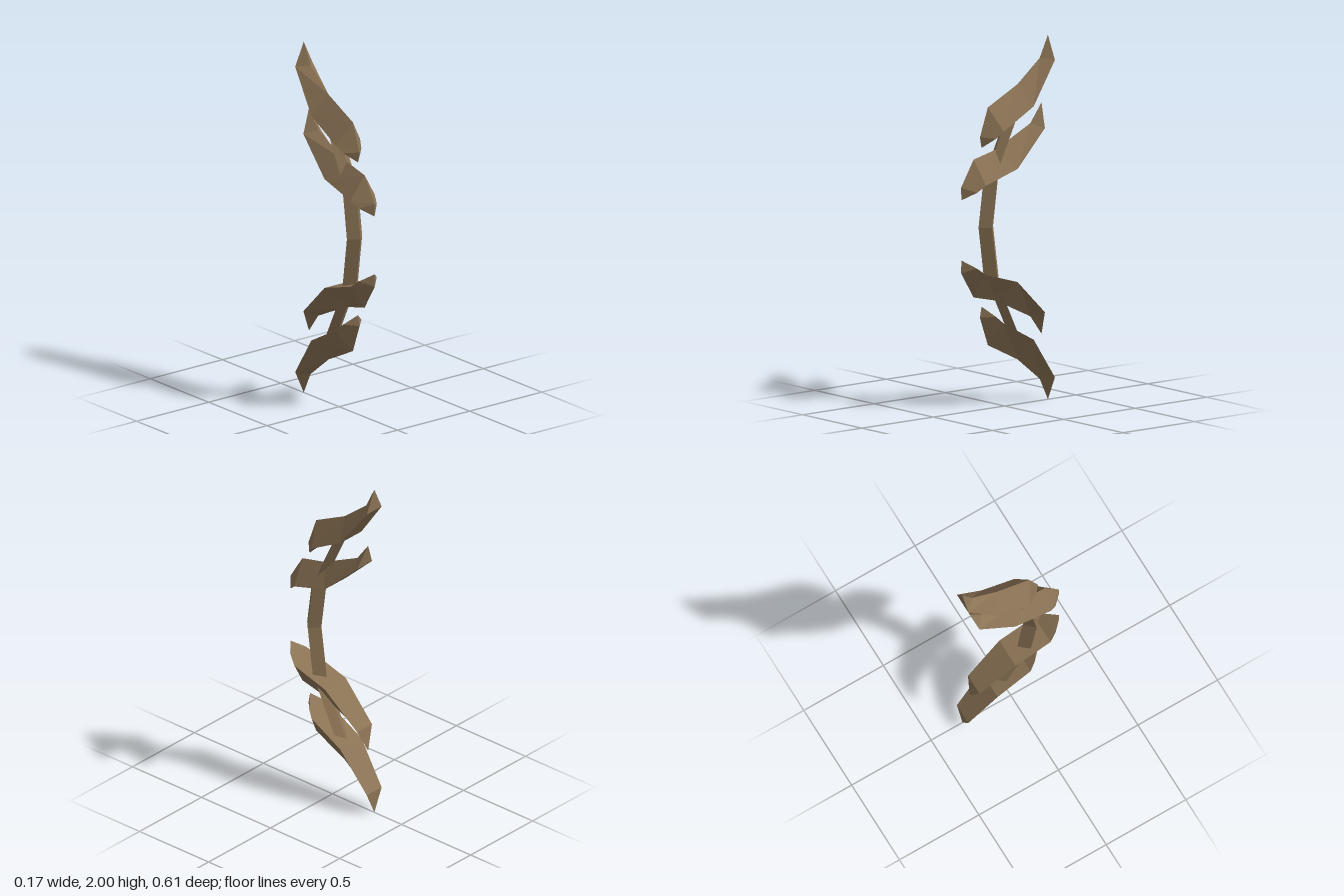
import * as THREE from 'three';

const wood = new THREE.MeshStandardMaterial({ color: 0x8b7355, flatShading: true });
wood.name = 'brown wood';

// Skin a list of rings (ordered top to bottom, each front > left > back > right);
// flip mirrors the result about the middle of the bow, y = 1.
function loft(name, rings, flip = false) {
  const pos = [];
  const tri = (a, b, c) => {
    for (const p of flip ? [a, c, b] : [a, b, c]) pos.push(p[0], flip ? 2 - p[1] : p[1], p[2]);
  };
  for (let i = 0; i < rings.length - 1; i++) {
    const A = rings[i], B = rings[i + 1], n = A.length;
    for (let j = 0; j < n; j++) {
      const k = (j + 1) % n;
      if (B[j] !== B[k]) tri(A[j], B[j], B[k]);
      if (A[j] !== A[k]) tri(A[j], B[k], A[k]);
    }
  }
  const geo = new THREE.BufferGeometry();
  geo.setAttribute('position', new THREE.Float32BufferAttribute(pos, 3));
  geo.computeVertexNormals();
  const mesh = new THREE.Mesh(geo, wood);
  mesh.name = name;
  return mesh;
}

// Blade section: ridge (z, y), edge (z, y) and half width
const section = ([rz, ry, ez, ey, w]) => [[0, ry, rz], [w, ey, ez], [-w, ey, ez]];
const point = (z, y) => { const p = [0, y, z]; return [p, p, p]; };
const blade = (top, rows, end) => [point(...top), ...rows.map(section), point(...end)];

// Rod section: diamond around (z, y)
const diamond = (z, y, w, d) => [[0, y, z + d], [w, y, z], [0, y, z - d], [-w, y, z]];

const outerBlade = blade([-0.303, 2.0], [
  [-0.245, 1.88, -0.302, 1.87, 0.06],
  [-0.09, 1.755, -0.133, 1.64, 0.085],
  [0.118, 1.652, 0.075, 1.527, 0.085],
  [0.173, 1.495, 0.113, 1.488, 0.063],
], [0.162, 1.435]);

const innerBlade = blade([-0.258, 1.635], [
  [-0.18, 1.53, -0.232, 1.505, 0.06],
  [0.06, 1.415, -0.02, 1.31, 0.085],
  [0.218, 1.378, 0.2, 1.245, 0.085],
  [0.305, 1.235, 0.245, 1.208, 0.063],
], [0.303, 1.165]);

const strut = [diamond(-0.075, 1.64, 0.046, 0.032), diamond(0.075, 1.33, 0.046, 0.032)];

export function createModel() {
  const bow = new THREE.Group();
  bow.name = 'bow';

  // Bent grip in the middle
  bow.add(loft('grip', [
    diamond(0.088, 1.33, 0.053, 0.051),
    diamond(0.132, 1.0, 0.053, 0.051),
    diamond(0.088, 0.67, 0.053, 0.051),
  ]));

  // Two mirrored limbs
  for (const flip of [false, true]) {
    const limb = new THREE.Group();
    limb.name = flip ? 'lowerLimb' : 'upperLimb';
    limb.add(
      loft('outerBlade', outerBlade, flip),
      loft('innerBlade', innerBlade, flip),
      loft('strut', strut, flip),
    );
    bow.add(limb);
  }
  return bow;
}
